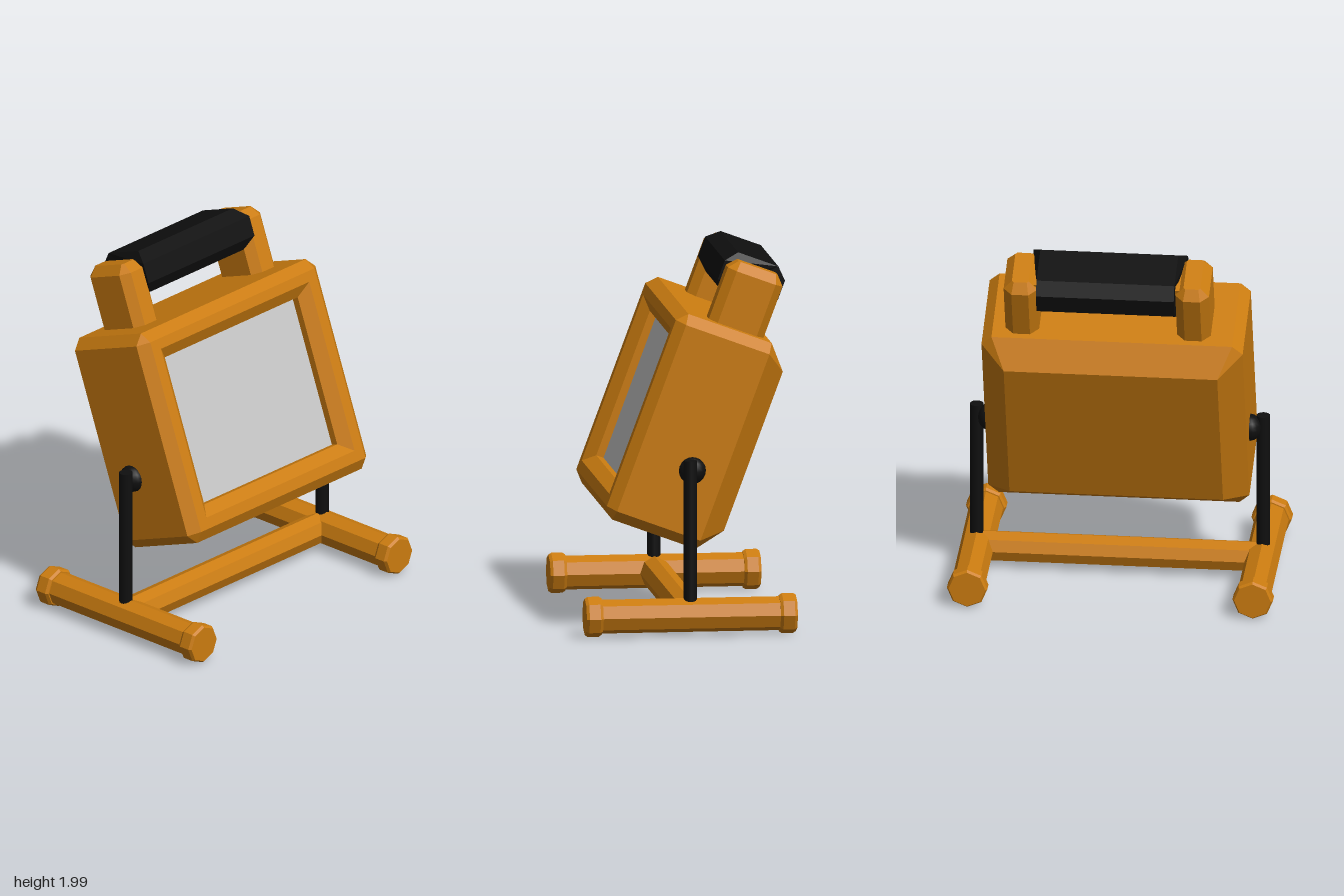
import * as THREE from 'three';

const orange = new THREE.MeshStandardMaterial({ color: 0xcb7c10 });
orange.name = 'orange housing';
const black = new THREE.MeshStandardMaterial({ color: 0x0f0f0f });
black.name = 'black rubber';
const grey = new THREE.MeshStandardMaterial({ color: 0xc6c6c6 });
grey.name = 'grey glass';

// Rectangle at x with corners cut by c, counter-clockwise seen from +x
function ring(x, y0, y1, z0, z1, c = 0) {
  return [
    [y1, z1 - c], [y1 - c, z1], [y0 + c, z1], [y0, z1 - c],
    [y0, z0 + c], [y0 + c, z0], [y1 - c, z0], [y1, z0 + c],
  ].map(([y, z]) => new THREE.Vector3(x, y, z));
}

// Faceted skin through rings in order of rising x
function loft(rings, capStart = true, capEnd = true) {
  const pos = [];
  const tri = (a, b, c) => {
    const area = b.clone().sub(a).cross(c.clone().sub(a)).length();
    if (area > 1e-7) for (const p of [a, b, c]) pos.push(p.x, p.y, p.z);
  };
  const n = rings[0].length;
  for (let i = 0; i < rings.length - 1; i++) {
    const A = rings[i], B = rings[i + 1];
    for (let k = 0; k < n; k++) {
      const m = (k + 1) % n;
      tri(A[k], A[m], B[m]);
      tri(A[k], B[m], B[k]);
    }
  }
  const first = rings[0], last = rings[rings.length - 1];
  for (let k = 1; k < n - 1; k++) {
    if (capStart) tri(first[0], first[k + 1], first[k]);
    if (capEnd) tri(last[0], last[k], last[k + 1]);
  }
  const g = new THREE.BufferGeometry();
  g.setAttribute('position', new THREE.Float32BufferAttribute(pos, 3));
  g.computeVertexNormals();
  return g;
}

function add(parent, name, geometry, material, x = 0, y = 0, z = 0) {
  const mesh = new THREE.Mesh(geometry, material);
  mesh.name = name;
  mesh.position.set(x, y, z);
  parent.add(mesh);
  return mesh;
}

// Eight-sided bar given as [radius, position] pairs along its axis
function octBar(profile) {
  const g = new THREE.LatheGeometry(profile.map(([r, t]) => new THREE.Vector2(r, t)), 8).toNonIndexed();
  g.computeVertexNormals();
  return g;
}

function buildHead() {
  const head = new THREE.Group();
  head.name = 'lampHead';
  head.position.set(-0.02, 0.88, 0);
  head.rotation.z = THREE.MathUtils.degToRad(20.4);

  // Housing with bevelled edges and a recessed window
  add(head, 'housing', loft([
    ring(-0.294, -0.26, 0.645, -0.57, 0.57),
    ring(-0.172, -0.394, 0.777, -0.697, 0.697, 0.055),
    ring(0.304, -0.394, 0.777, -0.697, 0.697, 0.055),
    ring(0.356, -0.336, 0.724, -0.64, 0.64),
    ring(0.356, -0.276, 0.668, -0.578, 0.578),
    ring(0.302, -0.218, 0.604, -0.518, 0.518),
    ring(0.255, -0.218, 0.604, -0.518, 0.518),
  ], true, false), orange);
  add(head, 'glass', new THREE.BoxGeometry(0.008, 0.822, 1.036), grey, 0.257, 0.193, 0);

  // Handle posts
  for (const z of [0.432, -0.484]) {
    const w = 0.09;
    const post = loft([
      ring(0.74, -0.172, 0.14, -w, w, 0.045),
      ring(1.07, -0.172, 0.14, -w, w, 0.045),
      ring(1.12, -0.127, 0.095, -w + 0.045, w - 0.045, 0.01),
    ]).rotateZ(Math.PI / 2);
    add(head, 'handlePost', post, orange, 0, 0, z);
  }
  // Crossbar inside the grip
  add(head, 'handleBar', new THREE.BoxGeometry(0.2, 0.15, 0.86), orange, 0.015, 1.02, -0.026);

  // Grip, longer on its front face
  const gripEnd = (s) => {
    const r = ring(s * 0.368, 0.92, 1.15, -0.185, 0.165, 0.06);
    r.forEach((p) => { if (p.z < -0.18) p.x += s * 0.045; });
    return r;
  };
  add(head, 'grip', loft([gripEnd(-1), gripEnd(1)]).rotateY(-Math.PI / 2), black, 0, 0, -0.027);
  return head;
}

function buildStand() {
  const stand = new THREE.Group();
  stand.name = 'stand';
  for (const s of [1, -1]) {
    // Foot with wider end caps
    const foot = add(stand, 'foot', octBar([[0.091, -0.5], [0.091, 0.5]]), orange, 0, 0.115, s * 0.762);
    foot.rotation.z = Math.PI / 2;
    for (const e of [1, -1]) {
      const cap = add(stand, 'footCap', octBar([
        [0, -0.045], [0.098, -0.045], [0.108, -0.03], [0.108, 0.03], [0.098, 0.045], [0, 0.045],
      ]), orange, e * 0.52, 0.115, s * 0.762);
      cap.rotation.z = Math.PI / 2;
    }
    // Upright and pivot knob
    add(stand, 'upright', new THREE.CylinderGeometry(0.036, 0.036, 0.78, 16), black, 0, 0.555, s * 0.765);
    const knob = add(stand, 'pivotKnob', new THREE.SphereGeometry(0.073, 16, 10), black, -0.02, 0.88, s * 0.695);
    knob.scale.z = 0.85;
  }
  const bar = add(stand, 'crossBar', octBar([[0.084, -0.76], [0.084, 0.76]]), orange, 0, 0.115, 0);
  bar.rotation.x = Math.PI / 2;
  return stand;
}

export function createModel() {
  const model = new THREE.Group();
  model.name = 'workLamp';
  model.add(buildHead(), buildStand());
  return model;
}
